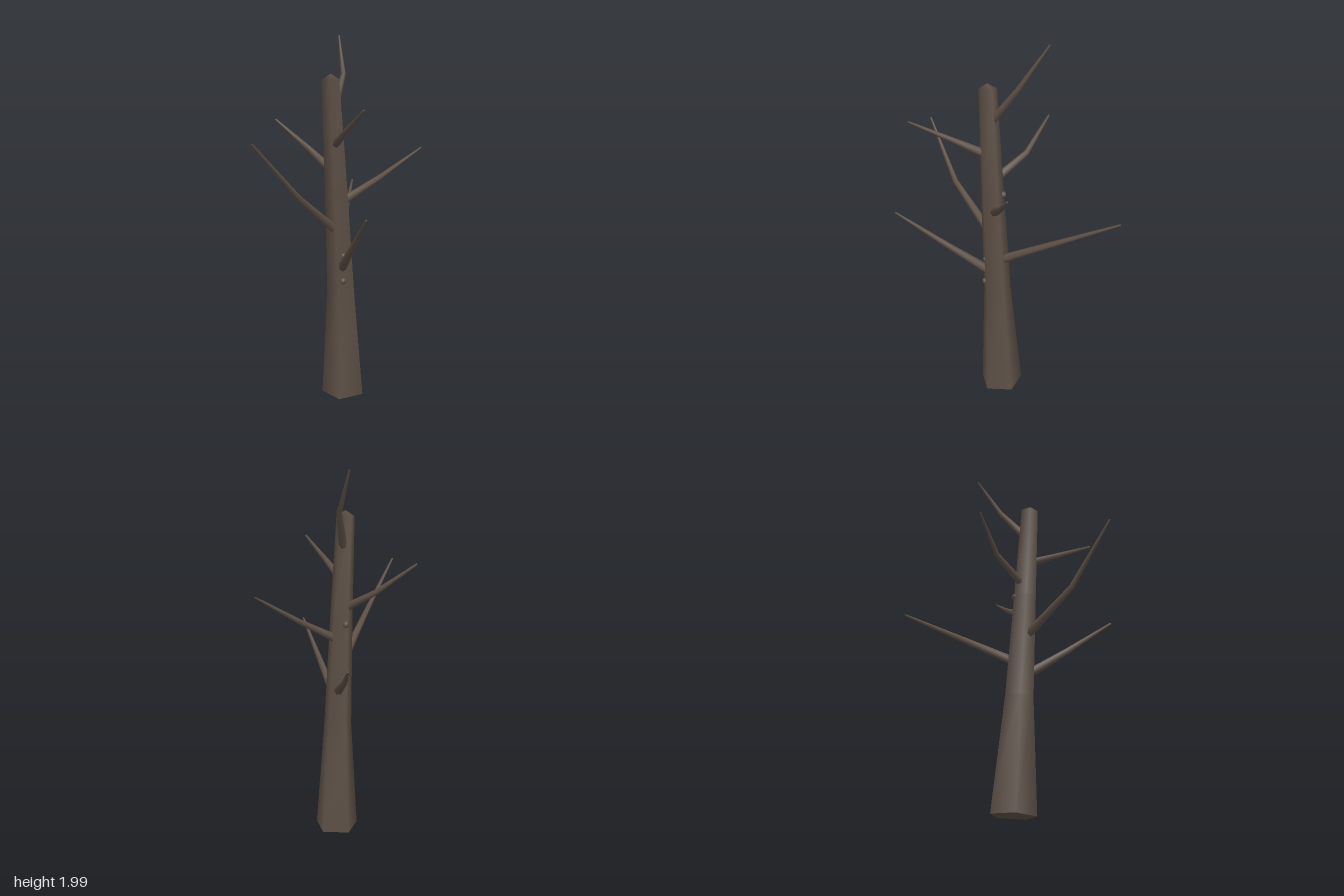
import * as THREE from 'three';

const bark = new THREE.MeshStandardMaterial({ color: 0x5d5046 });
bark.name = 'bark';

// Tapered limb through [x, y, z, radius] rings, square to its path, with a pointed tip.
function limb(name, rings, sides, tipHeight, closedBase = false) {
  const up = new THREE.Vector3(0, 1, 0);
  const centres = rings.map(([x, y, z]) => new THREE.Vector3(x, y, z));
  const positions = [], index = [];
  const at = (i, j) => i * sides + (j % sides);
  const last = rings.length - 1;
  const direction = (i) => centres[Math.min(i + 1, last)].clone()
    .sub(centres[Math.max(i - 1, 0)]).normalize();

  rings.forEach((ring, i) => {
    const turn = new THREE.Quaternion().setFromUnitVectors(up, direction(i));
    for (let j = 0; j < sides; j++) {
      const a = -Math.PI / 2 + (j / sides) * Math.PI * 2;
      const p = new THREE.Vector3(Math.cos(a), 0, Math.sin(a))
        .multiplyScalar(ring[3]).applyQuaternion(turn).add(centres[i]);
      positions.push(p.x, p.y, p.z);
    }
  });
  for (let i = 0; i < last; i++) {
    for (let j = 0; j < sides; j++) {
      index.push(at(i, j), at(i + 1, j), at(i, j + 1));
      index.push(at(i, j + 1), at(i + 1, j), at(i + 1, j + 1));
    }
  }
  // tip
  const tip = positions.length / 3;
  const t = centres[last].clone().addScaledVector(direction(last), tipHeight);
  positions.push(t.x, t.y, t.z);
  for (let j = 0; j < sides; j++) index.push(tip, at(last, j + 1), at(last, j));
  // flat base with its own corners, so that its edge stays sharp
  if (closedBase) {
    const start = positions.length / 3;
    positions.push(...positions.slice(0, sides * 3));
    for (let j = 1; j < sides - 1; j++) index.push(start, start + j, start + j + 1);
  }

  const geometry = new THREE.BufferGeometry();
  geometry.setAttribute('position', new THREE.Float32BufferAttribute(positions, 3));
  geometry.setIndex(index);
  geometry.computeVertexNormals();
  const mesh = new THREE.Mesh(geometry, bark);
  mesh.name = name;
  return mesh;
}

export function createModel() {
  const tree = new THREE.Group();
  tree.name = 'bareTree';

  // leaning five-sided trunk
  tree.add(limb('trunk', [
    [0.085, 0.009, 0.0, 0.122],
    [0.06, 0.62, 0.02, 0.079],
    [0.022, 1.2, 0.038, 0.064],
    [-0.018, 1.755, 0.053, 0.05],
  ], 5, 0.028, true));

  // branches: start, bend and end
  const branches = {
    lowerFrontBranch: [[0.045, 0.74, 0.05, 0.027], [0.0, 0.905, 0.28, 0.017], [-0.05, 1.105, 0.545, 0.006]],
    lowerBackBranch: [[0.06, 0.815, 0.015, 0.026], [0.215, 0.975, -0.27, 0.016], [0.385, 1.14, -0.545, 0.006]],
    longRightBranch: [[0.0, 0.97, 0.05, 0.025], [-0.25, 1.168, 0.193, 0.016], [-0.52, 1.455, 0.287, 0.006]],
    leftBranch: [[0.05, 1.105, 0.035, 0.025], [0.28, 1.235, 0.047, 0.015], [0.518, 1.387, 0.065, 0.005]],
    upperBackBranch: [[0.005, 1.28, 0.01, 0.024], [-0.06, 1.385, -0.165, 0.016], [-0.195, 1.537, -0.318, 0.006]],
    upperFrontBranch: [[-0.002, 1.415, 0.06, 0.024], [-0.012, 1.505, 0.24, 0.015], [-0.02, 1.61, 0.45, 0.006]],
    topBranch: [[0.01, 1.595, 0.035, 0.023], [0.11, 1.785, -0.077, 0.014], [0.145, 1.995, -0.215, 0.005]],
  };
  for (const [name, rings] of Object.entries(branches)) tree.add(limb(name, rings, 6, 0.003));

  // stubby knots on the trunk
  const knots = [[0.042, 0.68, 0.074, 1], [0.045, 0.82, 0.07, 1], [0.03, 1.195, -0.01, -1]];
  for (const [x, y, z, side] of knots) {
    tree.add(limb('knot', [
      [x, y, z - 0.01 * side, 0.015],
      [x, y, z + 0.012 * side, 0.019],
      [x, y, z + 0.022 * side, 0.013],
    ], 8, 0.003));
  }
  return tree;
}
